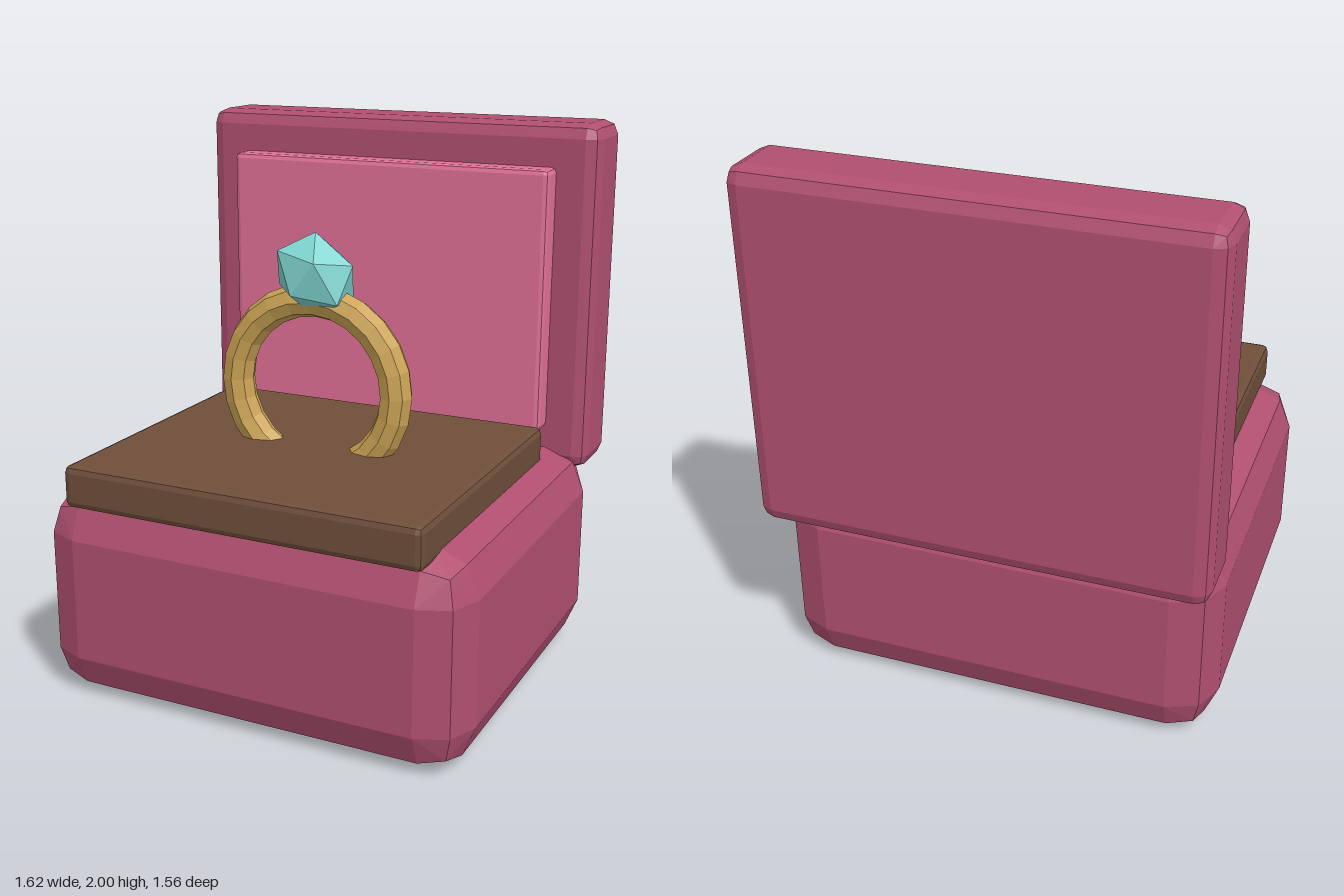
import * as THREE from 'three';
import { ConvexGeometry } from 'three/addons/geometries/ConvexGeometry.js';

const material = (color) => new THREE.MeshStandardMaterial({ color, flatShading: true });

// Box between two corners whose edges carry a two-step bevel of radius r
function bevelBox(name, min, max, r, mat) {
  const centre = min.map((v, i) => (v + max[i]) / 2);
  const half = min.map((v, i) => (max[i] - v) / 2 - r);
  const points = [];
  for (const sx of [-1, 1]) for (const sy of [-1, 1]) for (const sz of [-1, 1]) {
    // every corner is an eighth of a coarse sphere
    for (let k = 1; k < 8; k++) {
      const d = new THREE.Vector3(k & 1, (k >> 1) & 1, k >> 2).normalize().multiplyScalar(r);
      points.push(new THREE.Vector3(
        sx * (half[0] + d.x), sy * (half[1] + d.y), sz * (half[2] + d.z)));
    }
  }
  const mesh = new THREE.Mesh(new ConvexGeometry(points), mat);
  mesh.name = name;
  mesh.position.set(...centre);
  return mesh;
}

export function createModel() {
  const group = new THREE.Group();
  group.name = 'ringBox';
  const velvet = material(0xb04f70);

  // Box base and upright lid
  group.add(bevelBox('base', [-0.81, 0, -0.66], [0.81, 0.77, 0.78], 0.16, velvet));
  group.add(bevelBox('lid', [-0.81, 0.69, -0.78], [0.81, 2, -0.495], 0.055, velvet));

  // Lid lining and cushion
  group.add(bevelBox('lidLining', [-0.65, 0.85, -0.6], [0.65, 1.84, -0.405], 0.02, material(0xdf7096)));
  group.add(bevelBox('cushion', [-0.675, 0.73, -0.39], [0.675, 0.885, 0.78], 0.025, material(0x6e4e3a)));

  // Ring band, sunk into the cushion
  const band = new THREE.Mesh(new THREE.TorusGeometry(0.315, 0.06, 8, 24), material(0xcba354));
  band.name = 'ringBand';
  band.position.set(0, 1.1, 0.17);
  group.add(band);

  // Faceted gem, stretched and then tipped onto one point
  const gem = new THREE.Mesh(
    new THREE.IcosahedronGeometry(1, 0).scale(0.171, 0.143, 0.126).rotateZ(-0.645),
    material(0x7dd3cf));
  gem.name = 'gem';
  gem.position.set(0, 1.505, 0.168);
  group.add(gem);

  return group;
}
